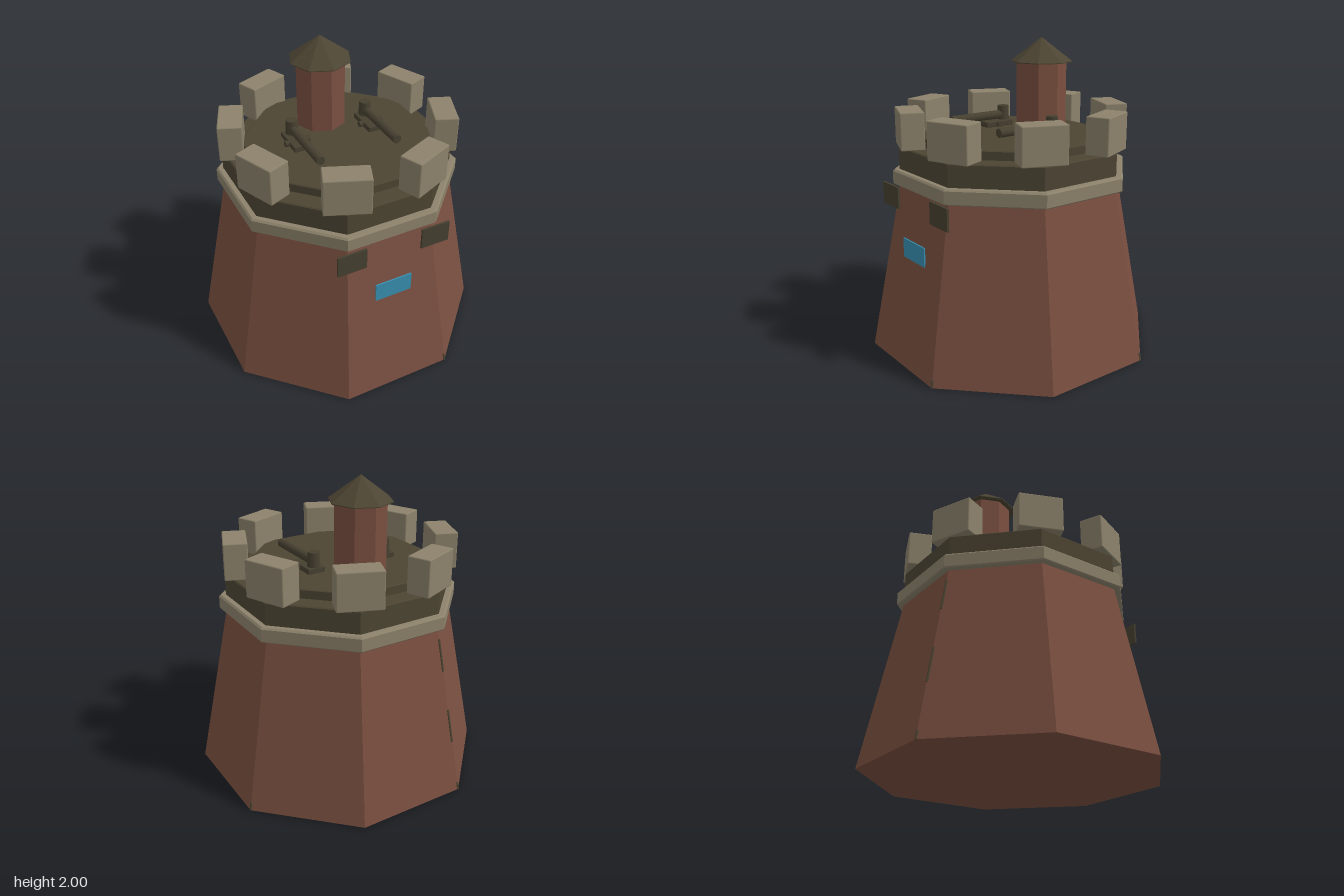
import * as THREE from 'three';
import { RoundedBoxGeometry } from 'three/addons/geometries/RoundedBoxGeometry.js';

const material = (name, color) => {
  const m = new THREE.MeshStandardMaterial({ color });
  m.name = name;
  return m;
};

export function createModel() {
  const brick = material('brick', 0x7a4f40);
  const stone = material('stone', 0x8c826b);
  const slate = material('slate', 0x4d4533);
  const iron = material('iron', 0x464030);
  const glass = material('glass', 0x388fb0);

  const tower = new THREE.Group();
  tower.name = 'tower';

  const add = (parent, name, geometry, mat, x = 0, y = 0, z = 0) => {
    const mesh = new THREE.Mesh(geometry, mat);
    mesh.name = name;
    mesh.position.set(x, y, z);
    parent.add(mesh);
    return mesh;
  };

  // Flat-faced eight-sided solid from [radius, height] pairs, bottom to top
  const octagon = (profile, turn = 0) => {
    const points = profile.map(([r, y]) => new THREE.Vector2(r, y));
    const g = new THREE.LatheGeometry(points, 8, turn).toNonIndexed();
    g.computeVertexNormals();
    return g;
  };
  const corner = Math.PI / 8;
  const toCorner = 1 / Math.cos(corner);
  // Tier given by the distance to its flat sides
  const tier = (profile) => octagon(profile.map(([a, y]) => [a * toCorner, y]), corner);

  // Main tower
  add(tower, 'towerBody', tier([[0, 0], [0.885, 0], [0.685, 1.1], [0, 1.1]]), brick);
  add(tower, 'trimRing', tier([[0, 1.1], [0.718, 1.1], [0.726, 1.108], [0.726, 1.187], [0.715, 1.198], [0, 1.198]]), stone);
  add(tower, 'parapet', tier([[0, 1.19], [0.685, 1.19], [0.685, 1.335], [0.678, 1.342], [0, 1.342]]), slate);
  add(tower, 'deck', tier([[0, 1.34], [0.573, 1.34], [0.573, 1.394], [0.567, 1.4], [0, 1.4]]), slate);

  // Battlements, one over each corner
  const merlonShape = new RoundedBoxGeometry(0.284, 0.24, 0.153, 1, 0.008);
  for (let i = 0; i < 8; i++) {
    const a = corner + (i * Math.PI) / 4;
    const merlon = add(tower, 'merlon', merlonShape, stone, 0.668 * Math.sin(a), 1.46, 0.668 * Math.cos(a));
    merlon.rotation.y = a;
  }

  // Turret with pointed roof
  const turret = new THREE.Group();
  turret.name = 'turret';
  turret.position.z = -0.242;
  tower.add(turret);
  add(turret, 'turretWall', octagon([[0.165, 1.38], [0.165, 1.85]]), brick);
  add(turret, 'turretRoof', octagon([[0, 1.842], [0.202, 1.842], [0.202, 1.848], [0, 2]]), slate);

  // Pair of deck guns pointing forward
  for (const side of [-1, 1]) {
    const gun = new THREE.Group();
    gun.name = side > 0 ? 'leftGun' : 'rightGun';
    gun.position.set(side * 0.262, 1.4, 0);
    tower.add(gun);
    add(gun, 'gunBase', new RoundedBoxGeometry(0.12, 0.037, 0.215, 1, 0.006), iron, 0, 0.018, -0.053);
    add(gun, 'pivot', new THREE.CylinderGeometry(0.037, 0.043, 0.13, 10), iron, 0, 0.065, -0.12);
    const barrel = add(gun, 'barrel', new THREE.CylinderGeometry(0.029, 0.029, 0.43, 10), iron, 0, 0.07, 0.085);
    barrel.rotation.x = Math.PI / 2;
    const axle = add(gun, 'axle', new THREE.CylinderGeometry(0.02, 0.02, 0.168, 8), iron, 0, 0.018, 0.042 - 0.082);
    axle.rotation.z = Math.PI / 2;
  }

  // Front shutters and window
  for (const x of [-0.285, 0.285]) {
    add(tower, 'shutter', new THREE.BoxGeometry(0.192, 0.142, 0.014), iron, x, 1.035, 0.75);
  }
  add(tower, 'window', new THREE.BoxGeometry(0.25, 0.126, 0.009), glass, 0, 0.732, 0.762);

  // Thin strips showing through the corners: [corner angle in eighths, bottom, top]
  const up = new THREE.Vector3(0, 1, 0);
  for (const [k, y0, y1] of [[4.5, 0.82, 1.03], [4.5, 0.34, 0.56], [4.5, 0, 0.05], [0.5, 0, 0.05], [2.5, 0, 0.05]]) {
    const a = (k * Math.PI) / 4;
    const at = (y) => {
      const r = (0.885 - (0.2 * y) / 1.1) * toCorner - 0.004;
      return new THREE.Vector3(r * Math.sin(a), y, r * Math.cos(a));
    };
    const p = at(y0), q = at(y1);
    const strip = add(tower, 'cornerStrip', new THREE.CylinderGeometry(0.009, 0.009, p.distanceTo(q), 6), slate);
    strip.position.copy(p).add(q).multiplyScalar(0.5);
    strip.quaternion.setFromUnitVectors(up, q.sub(p).normalize());
  }

  return tower;
}
